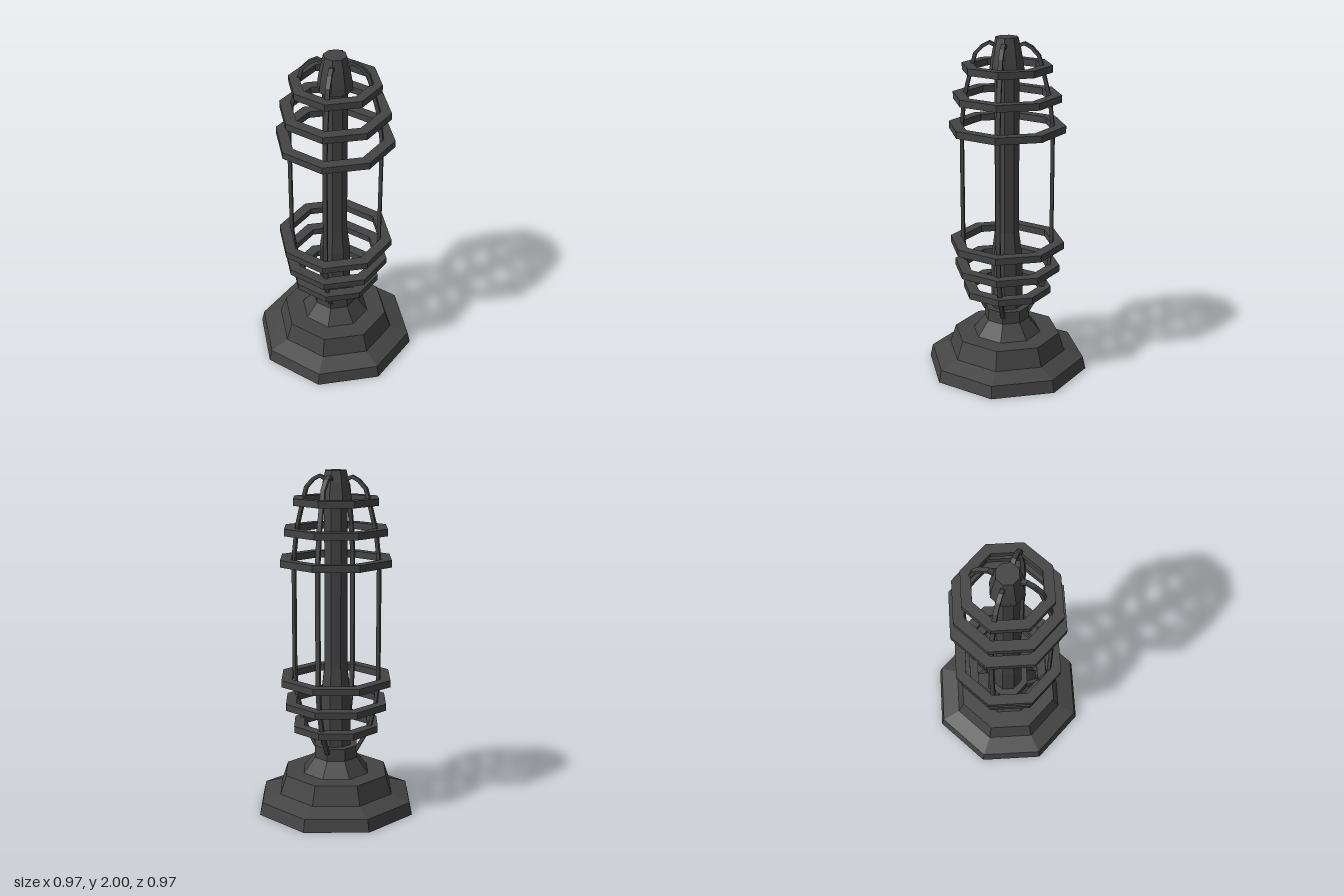
import * as THREE from 'three';

const iron = new THREE.MeshStandardMaterial({ color: 0x444444, side: THREE.DoubleSide });
iron.name = 'dark iron';

// Faceted mesh with hard edges
function part(name, geometry) {
  const g = geometry.index ? geometry.toNonIndexed() : geometry;
  g.computeVertexNormals();
  const mesh = new THREE.Mesh(g, iron);
  mesh.name = name;
  return mesh;
}

// Eight-sided turned form with corners on the x and z axes
function octagonal(name, points) {
  return part(name, new THREE.LatheGeometry(points.map(([r, y]) => new THREE.Vector2(r, y)), 8));
}

// Square bar following a path of [radius, height] points
function bar(path, thickness, width) {
  const pts = path.map(([r, y]) => new THREE.Vector2(r, y));
  const side = (s) => pts.map((p, i) => {
    const a = pts[Math.max(i - 1, 0)], b = pts[Math.min(i + 1, pts.length - 1)];
    const t = b.clone().sub(a).normalize();
    return new THREE.Vector2(p.x + t.y * s, p.y - t.x * s);
  });
  const outline = [...side(thickness / 2), ...side(-thickness / 2).reverse()];
  const g = new THREE.ExtrudeGeometry(new THREE.Shape(outline), { depth: width, bevelEnabled: false });
  return g.translate(0, 0, -width / 2);
}

export function createModel() {
  const model = new THREE.Group();
  model.name = 'cagedPost';

  // Stepped base, open underneath
  model.add(octagonal('base', [[0.485, 0], [0.468, 0.073], [0.355, 0.11], [0.318, 0.22], [0, 0.22]]));
  model.add(octagonal('neck', [[0.205, 0.22], [0.135, 0.31], [0.135, 0.385], [0, 0.385]]));

  // Central column and its domed cap
  model.add(octagonal('column', [[0.095, 0.385], [0.093, 0.7], [0.072, 0.86], [0.072, 1.82]]));
  model.add(octagonal('cap', [[0, 1.8], [0.1, 1.8], [0.098, 1.84], [0.082, 1.93], [0.065, 2], [0, 2]]));

  // Cage hoops: height, inner radius, outer radius
  const hoops = [
    [0.5, 0.2, 0.265], [0.64, 0.25, 0.315], [0.785, 0.275, 0.341],
    [1.485, 0.275, 0.341], [1.66, 0.25, 0.315], [1.828, 0.2, 0.26],
  ];
  for (const [y, inner, outer] of hoops) {
    const lo = y - 0.02, hi = y + 0.02;
    model.add(octagonal('cageHoop', [[inner, lo], [outer, lo], [outer, hi], [inner, hi], [inner, lo]]));
  }

  // Four upright cage bars curling into the cap
  const path = [
    [0.128, 0.355], [0.21, 0.5], [0.248, 0.64], [0.265, 0.785], [0.265, 1.485], [0.245, 1.66],
    [0.202, 1.83], [0.182, 1.9], [0.14, 1.945], [0.1, 1.966], [0.07, 1.953],
  ];
  for (let i = 0; i < 4; i++) {
    const upright = part('cageBar', bar(path, 0.02, 0.025));
    upright.rotation.y = i * Math.PI / 2;
    model.add(upright);
  }
  return model;
}
